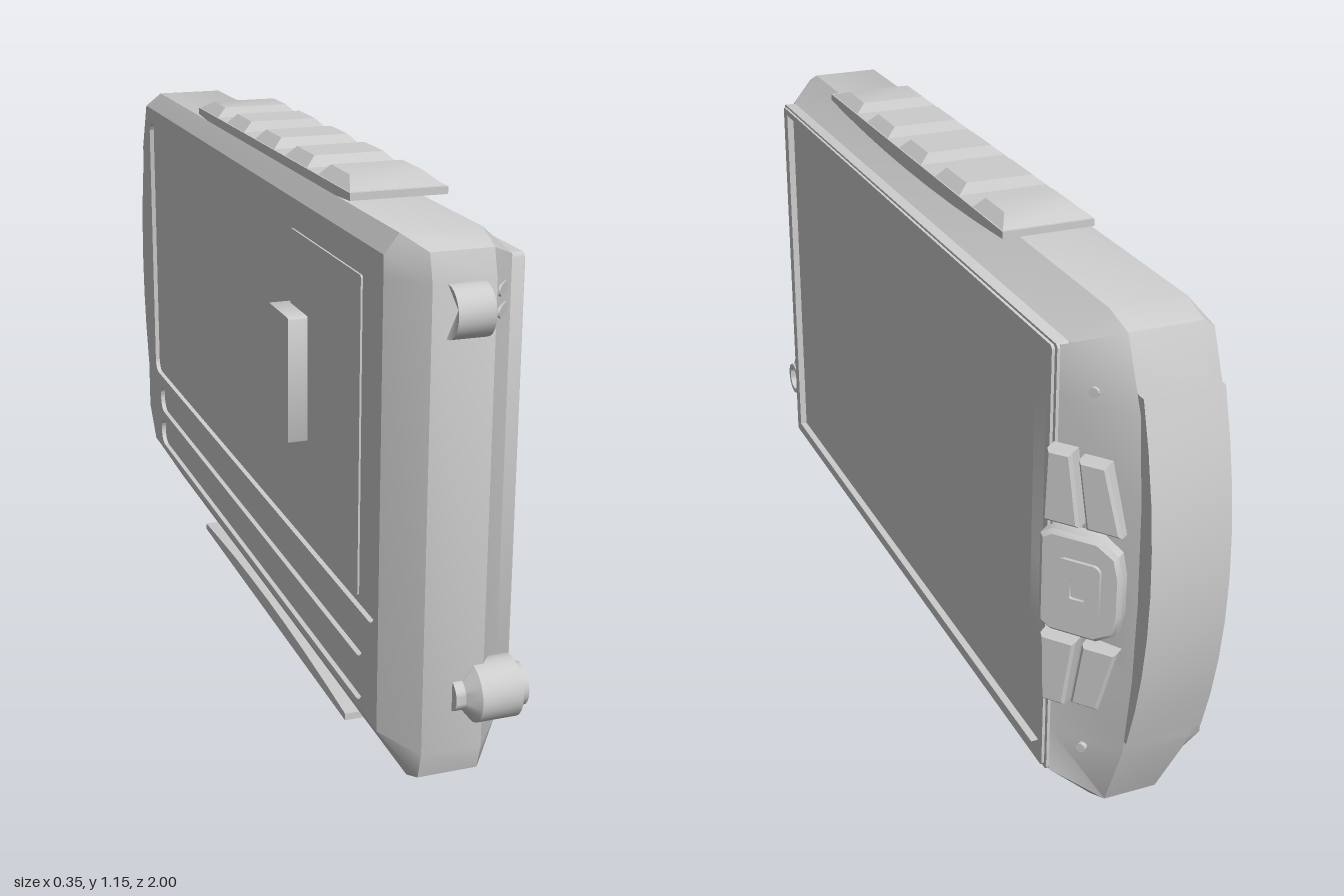
import * as THREE from 'three';
import { toCreasedNormals } from 'three/addons/utils/BufferGeometryUtils.js';

const material = new THREE.MeshStandardMaterial({ color: 0xcccccc });

function add(parent, name, geometry, x = 0, y = 0, z = 0) {
  const mesh = new THREE.Mesh(toCreasedNormals(geometry, 0.6), material);
  mesh.name = name;
  mesh.position.set(x, y, z);
  parent.add(mesh);
  return mesh;
}

// Side shapes are drawn in (u, y) with u = -z, then extruded along x.
const polygon = pts => new THREE.Shape(pts.map(p => new THREE.Vector2(p[0], p[1])));

function roundRect(u0, u1, y0, y1, r, Type = THREE.Shape) {
  const s = new Type();
  s.moveTo(u0 + r, y0);
  s.lineTo(u1 - r, y0).absarc(u1 - r, y0 + r, r, -Math.PI / 2, 0);
  s.lineTo(u1, y1 - r).absarc(u1 - r, y1 - r, r, 0, Math.PI / 2);
  s.lineTo(u0 + r, y1).absarc(u0 + r, y1 - r, r, Math.PI / 2, Math.PI);
  s.lineTo(u0, y0 + r).absarc(u0 + r, y0 + r, r, Math.PI, Math.PI * 1.5);
  return s;
}

function extrude(shape, depth, bevel = 0) {
  return new THREE.ExtrudeGeometry(shape, {
    depth: depth - bevel, curveSegments: 8, bevelEnabled: bevel > 0,
    bevelThickness: bevel, bevelSize: bevel, bevelOffset: -bevel, bevelSegments: 1
  });
}

const slab = (shape, x0, x1) => extrude(shape, x1 - x0).rotateY(Math.PI / 2).translate(x0, 0, 0);

// Box whose top face is narrowed; u0/u1 and t0/t1 are its lower and upper extents.
function keyGeometry(u0, u1, t0, t1, h, w, topW) {
  const g = new THREE.BoxGeometry(1, 1, 1);
  const p = g.attributes.position;
  for (let i = 0; i < p.count; i++) {
    const top = p.getY(i) > 0;
    const rear = p.getZ(i) < 0;
    const u = top ? (rear ? t1 : t0) : (rear ? u1 : u0);
    p.setXYZ(i, Math.sign(p.getX(i)) * (top ? topW : w) / 2, top ? h : 0, -u);
  }
  g.computeVertexNormals();
  return g;
}

const rim = [
  [-0.95, 0.11], [-0.935, 0.055], [-0.88, 0.03], [0.81, 0.03], [0.86, 0.05], [0.925, 0.21],
  [0.948, 0.39], [0.955, 0.57], [0.95, 0.77], [0.93, 0.95], [0.87, 1.085], [0.81, 1.11],
  [-0.88, 1.11], [-0.935, 1.085], [-0.95, 1.03]
];
const clamp = THREE.MathUtils.clamp;
const backLoop = rim.map(([u, y]) => [clamp(u, -0.87, 0.92), clamp(y, 0.13, 1.07)]);

function buildShell(group) {
  const rings = [
    backLoop.map(([u, y]) => [-0.135, y, -u]),
    rim.map(([u, y]) => [u < -0.9 || y < 0.1 ? -0.075 : -0.11, y, -u]),
    rim.map(([u, y]) => [u > 0.85 ? 0.04 : 0.048, y, -u]),
    rim.map(([u, y]) => [u > 0.85 ? 0.138 : 0.118, clamp(y, 0.11, 1.05), -clamp(u, -0.86, 0.8)])
  ];
  const pos = [];
  const n = rim.length;
  for (let k = 0; k < 3; k++) {
    for (let i = 0; i < n; i++) {
      const j = (i + 1) % n;
      const [a, b, c, d] = [rings[k][i], rings[k][j], rings[k + 1][j], rings[k + 1][i]];
      pos.push(...a, ...b, ...c, ...a, ...c, ...d);
    }
  }
  for (let i = 0; i < n; i++) {
    pos.push(0.11, 0.57, 0, ...rings[3][i], ...rings[3][(i + 1) % n]);
  }
  const g = new THREE.BufferGeometry();
  g.setAttribute('position', new THREE.Float32BufferAttribute(pos, 3));
  g.computeVertexNormals();
  add(group, 'bodyShell', g);
}

function buildBack(group) {
  const unique = backLoop.filter((p, i) => {
    const q = backLoop[(i + 1) % backLoop.length];
    return Math.hypot(p[0] - q[0], p[1] - q[1]) > 1e-6;
  });
  const plate = polygon(unique);
  plate.holes.push(
    roundRect(-0.85, 0.84, 0.34, 1.03, 0.03, THREE.Path),
    roundRect(-0.79, 0.79, 0.24, 0.31, 0.033, THREE.Path),
    roundRect(-0.79, 0.79, 0.145, 0.215, 0.033, THREE.Path)
  );
  add(group, 'backPlate', slab(plate, -0.135, -0.124));
  add(group, 'recessFloor', slab(polygon(unique), -0.124, -0.112));
  add(group, 'batteryDoor', slab(roundRect(-0.74, -0.33, 0.355, 1, 0.005), -0.128, -0.12));
  add(group, 'doorLatch', slab(roundRect(-0.44, -0.31, 0.57, 0.84, 0.005), -0.17, -0.12));
}

function buildScreen(group) {
  const outer = roundRect(-0.857, 0.8, 0.11, 1.05, 0.008);
  outer.holes.push(roundRect(-0.83, 0.78, 0.13, 1.04, 0.01, THREE.Path));
  add(group, 'screenFrame', slab(outer, 0.1, 0.144));
  const lip = roundRect(-0.848, 0.79, 0.115, 1.045, 0.008);
  lip.holes.push(polygon([
    [-0.82, 0.14], [0.74, 0.14], [0.77, 0.165], [0.77, 1.005], [0.74, 1.03], [-0.82, 1.03]
  ]));
  add(group, 'screenLip', slab(lip, 0.125, 0.15));
  add(group, 'screen', slab(roundRect(-0.835, 0.785, 0.125, 1.04, 0.005), 0.105, 0.134));
}

// Keys lie on the sloping panel: local x runs downhill, local z points out of it.
function buildControls(group) {
  const panel = new THREE.Group();
  panel.name = 'controlPanel';
  panel.position.set(0.1, 0.585, -0.862);
  panel.rotation.y = Math.atan2(0.105, -0.085);
  group.add(panel);
  const pad = polygon([
    [-0.085, -0.095], [-0.06, -0.11], [0.035, -0.11], [0.075, -0.085], [0.085, -0.04],
    [0.085, 0.04], [0.075, 0.085], [0.035, 0.11], [-0.06, 0.11], [-0.085, 0.095]
  ]);
  add(panel, 'directionPad', extrude(pad, 0.036, 0.008));
  const ring = roundRect(-0.045, 0.045, -0.06, 0.06, 0.015);
  ring.holes.push(roundRect(-0.016, 0.016, -0.022, 0.022, 0.004, THREE.Path));
  add(panel, 'selectKey', extrude(ring, 0.043));
  for (const s of [1, -1]) {
    const key = pts => polygon((s > 0 ? pts : [...pts].reverse()).map(([a, y]) => [a, s * y]));
    add(panel, 'innerKey', extrude(key([[-0.08, 0.125], [-0.005, 0.125], [-0.025, 0.275], [-0.075, 0.275]]), 0.035, 0.006));
    add(panel, 'outerKey', extrude(key([[0.008, 0.125], [0.08, 0.125], [0.045, 0.265], [-0.012, 0.265]]), 0.033, 0.006));
    add(panel, 'panelScrew', new THREE.CylinderGeometry(0.01, 0.01, 0.012, 12).rotateX(Math.PI / 2), 0, s * 0.39, -0.006);
  }
}

function buildGrip(group) {
  const s = new THREE.Shape();
  s.moveTo(0.88, 0.24);
  s.lineTo(0.938, 0.24);
  s.quadraticCurveTo(1.062, 0.6125, 0.938, 0.985);
  s.lineTo(0.88, 0.985);
  add(group, 'endGrip', slab(s, -0.125, 0.04));
}

function buildKeyStrip(name) {
  const strip = new THREE.Group();
  strip.name = name;
  // Underside sweeps down into the body
  const base = polygon([[0.43, 1.115], [0.43, 1.13], [-0.63, 1.13], [-0.63, 1.115]]);
  base.quadraticCurveTo(-0.1, 1.075, 0.43, 1.115);
  add(strip, 'stripBase', slab(base, -0.11, 0.09));
  for (const [u0, u1, t0, t1] of [
    [-0.63, -0.44, -0.56, -0.455], [-0.375, -0.23, -0.355, -0.245], [-0.16, -0.02, -0.14, -0.035],
    [0.06, 0.2, 0.075, 0.185], [0.27, 0.43, 0.285, 0.38]
  ]) {
    add(strip, 'edgeKey', keyGeometry(u0, u1, t0, t1, 0.024, 0.2, 0.15), -0.01, 1.127, 0);
  }
  return strip;
}

const lathe = (pts, sides) =>
  new THREE.LatheGeometry(pts.map(p => new THREE.Vector2(...p)), sides).rotateZ(-Math.PI / 2);

function buildEndFittings(group) {
  // Hollow connector, axis along x
  add(group, 'connector', lathe([
    [0, -0.015], [0.032, -0.015], [0.032, 0.005], [0.06, 0.027], [0.06, 0.11], [0.042, 0.11],
    [0.042, 0.13], [0.03, 0.13], [0.03, 0.07], [0, 0.07]
  ], 24), 0, 0.225, 0.94);
  // Thumb wheel with dished ends
  add(group, 'thumbWheel', lathe([[0, -0.015], [0.05, -0.036], [0.05, 0.036], [0, 0.015]], 24), -0.01, 0.98, 0.95);
  // Pair of small ribs on the end bevel
  for (const y of [0.965, 1.005]) {
    const rib = add(group, 'bevelRib', extrude(roundRect(-0.03, 0.03, -0.01, 0.01, 0.009), 0.012), 0.066, y, 0.914);
    rib.rotation.y = Math.atan2(0.09, 0.07);
  }
}

export function createModel() {
  const group = new THREE.Group();
  group.name = 'handheldDevice';
  buildShell(group);
  buildBack(group);
  buildScreen(group);
  buildControls(group);
  buildGrip(group);
  buildEndFittings(group);
  group.add(buildKeyStrip('topKeyStrip'));
  // The strip is symmetric across its width, so a half turn gives the lower one
  const lower = buildKeyStrip('bottomKeyStrip');
  lower.rotation.z = Math.PI;
  lower.position.set(-0.02, 1.151, 0);
  group.add(lower);
  return group;
}
